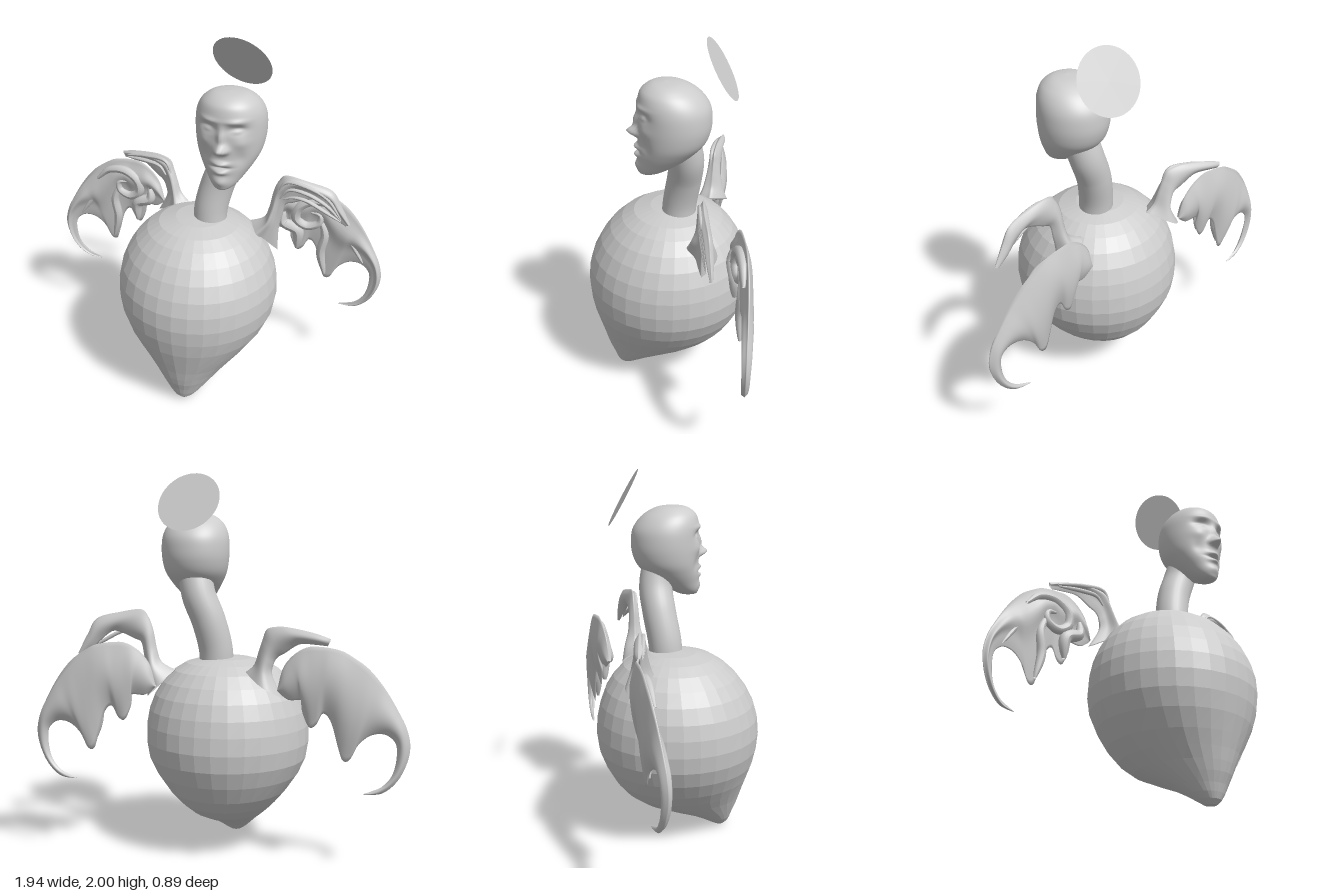
import * as THREE from 'three';

const V = (x, y, z) => new THREE.Vector3(x, y, z);

// Catmull-Rom interpolation of number rows, n samples
function sample(rows, n) {
  const out = [], last = rows.length - 1;
  for (let k = 0; k <= n; k++) {
    const u = (k / n) * last, i = Math.min(Math.floor(u), last - 1), t = u - i;
    const a = rows[Math.max(i - 1, 0)], b = rows[i], c = rows[i + 1], d = rows[Math.min(i + 2, last)];
    out.push(b.map((q, j) => {
      const k1 = c[j] - a[j];
      const k2 = 2 * a[j] - 5 * q + 4 * c[j] - d[j];
      const k3 = 3 * (q - c[j]) + d[j] - a[j];
      return q + 0.5 * t * (k1 + t * (k2 + t * k3));
    }));
  }
  return out;
}

// Skin closed rings of equal point count
function loft(rings, flat = false) {
  const m = rings[0].length, idx = [];
  for (let i = 0; i < rings.length - 1; i++) {
    for (let j = 0; j < m; j++) {
      const a = i * m + j, b = i * m + (j + 1) % m;
      idx.push(a, a + m, b, b, a + m, b + m);
    }
  }
  let g = new THREE.BufferGeometry().setFromPoints(rings.flat());
  g.setIndex(idx);
  if (flat) g = g.toNonIndexed();
  g.computeVertexNormals();
  return g;
}

// Horizontal elliptical rings from rows [y, halfWidth, zFront, zBack]
function ovals(rows, segments, cx = 0) {
  return rows.map(([y, w, zf, zb]) => Array.from({ length: segments }, (_, j) => {
    const a = (j / segments) * Math.PI * 2;
    return V(cx + w * Math.cos(a), y, (zf + zb) / 2 + (zf - zb) / 2 * Math.sin(a));
  }));
}

// Thin curved blade between two edges, rows [ax, ay, bx, by, thickness]
function blade(rows, zMid, n = 90, half = 14) {
  return loft(sample(rows, n).map(([ax, ay, bx, by, th]) =>
    Array.from({ length: half * 2 }, (_, j) => {
      const back = j <= half, s = back ? j / half : 2 - j / half;
      const x = ax + (bx - ax) * s, y = ay + (by - ay) * s, h = Math.sin(Math.PI * s);
      const rim = 0.35 + Math.exp(-(((s - 0.25) / 0.18) ** 2));
      return V(x, y, zMid(x) + th * h * (back ? -1 : rim));
    })));
}

// Tapered rounded fold following a path
function fold(points, r, zMid, lift) {
  const path = new THREE.CatmullRomCurve3(points.map(([x, y]) => V(x, y, zMid(x) + lift)));
  const n = 48, g = new THREE.TubeGeometry(path, n, r, 10), p = g.attributes.position, v = V(0, 0, 0);
  for (let i = 0; i < p.count; i++) {
    const t = Math.floor(i / 11) / n, c = path.getPointAt(t);
    v.fromBufferAttribute(p, i).sub(c).multiplyScalar(Math.sin(Math.PI * (0.04 + 0.92 * t)) ** 0.6).add(c);
    p.setXYZ(i, v.x, v.y, v.z);
  }
  g.computeVertexNormals();
  return g;
}

export function createModel() {
  const model = new THREE.Group();
  const stone = new THREE.MeshStandardMaterial({ color: 0xcccccc, side: THREE.DoubleSide });
  stone.name = 'pale grey';
  const add = (name, geometry, parent = model) => {
    const mesh = new THREE.Mesh(geometry, stone);
    mesh.name = name;
    parent.add(mesh);
    return mesh;
  };

  // Faceted round body drawn down to a forward point
  add('body', loft(ovals([
    [0, 0, 0.25, 0.25], [0.007, 0.03, 0.28, 0.22], [0.03, 0.06, 0.3, 0.18], [0.06, 0.09, 0.312, 0.13],
    [0.1, 0.125, 0.325, 0.05], [0.15, 0.17, 0.345, -0.08], [0.2, 0.215, 0.36, -0.2],
    [0.26, 0.268, 0.375, -0.285], [0.33, 0.325, 0.395, -0.345], [0.42, 0.385, 0.42, -0.395],
    [0.51, 0.425, 0.437, -0.43], [0.6, 0.44, 0.445, -0.442], [0.69, 0.438, 0.437, -0.435],
    [0.77, 0.422, 0.413, -0.418], [0.85, 0.39, 0.372, -0.388], [0.92, 0.345, 0.32, -0.345],
    [0.98, 0.285, 0.255, -0.29], [1.02, 0.22, 0.19, -0.225], [1.045, 0.13, 0.1, -0.15],
    [1.055, 0, -0.02, -0.02]], 32), true));

  // Leaning neck
  add('neck', new THREE.TubeGeometry(new THREE.CatmullRomCurve3([
    V(0.05, 0.98, -0.045), V(0.055, 1.1, -0.055), V(0.09, 1.25, -0.075),
    V(0.14, 1.38, -0.08), V(0.17, 1.52, -0.05)]), 32, 0.09, 28));

  // Head, with the face raised by soft bumps [x, y, width, height, depth]
  const cx = 0.17;
  const bumps = [
    [0, 1.555, 0.026, 0.024, 0.05], [0, 1.61, 0.017, 0.045, 0.022],
    [0, 1.475, 0.04, 0.013, 0.02], [0, 1.43, 0.034, 0.013, 0.018],
    [0, 1.452, 0.045, 0.007, -0.012], [0, 1.375, 0.04, 0.025, 0.013]];
  for (const s of [-1, 1]) {
    bumps.push([s * 0.026, 1.545, 0.015, 0.015, 0.016], [s * 0.075, 1.655, 0.042, 0.022, -0.024],
      [s * 0.075, 1.647, 0.024, 0.012, 0.013], [s * 0.07, 1.697, 0.05, 0.014, 0.01],
      [s * 0.1, 1.585, 0.035, 0.03, 0.009], [s * 0.09, 1.5, 0.03, 0.04, -0.01]);
  }
  const headRings = ovals(sample([
    [1.32, 0, 0.12, 0.12], [1.326, 0.034, 0.155, 0.07], [1.35, 0.068, 0.165, 0.015],
    [1.4, 0.107, 0.165, -0.07], [1.45, 0.139, 0.165, -0.13], [1.5, 0.163, 0.163, -0.175],
    [1.56, 0.176, 0.163, -0.198], [1.62, 0.18, 0.163, -0.203], [1.68, 0.176, 0.165, -0.195],
    [1.73, 0.16, 0.16, -0.165], [1.77, 0.13, 0.142, -0.12], [1.8, 0.08, 0.095, -0.055],
    [1.81, 0, 0.03, 0.03]], 120), 96, cx);
  for (const ring of headRings) {
    ring.forEach((v, j) => {
      if (j > 48) return;
      for (const [x, y, w, h, d] of bumps) {
        const dx = (v.x - cx - x) / w, dy = (v.y - y) / h;
        v.z += d * Math.exp(-dx * dx - dy * dy);
      }
    });
  }
  add('head', loft(headRings));

  // Tilted disc halo
  const halo = add('halo', new THREE.CircleGeometry(0.166, 48));
  halo.position.set(0.15, 1.855, -0.25);
  halo.quaternion.setFromUnitVectors(V(0, 0, 1), V(-0.16, -0.48, 0.86).normalize());

  // Mirrored curled wings: outer edge paired with scalloped lower edge
  const wingZ = (x) => -0.31 - 0.028 * Math.sin(Math.PI * (x - 0.3) / 0.67);
  const wing = blade([
    [0.315, 0.93, 0.315, 0.92, 0.01], [0.34, 1.03, 0.37, 0.88, 0.025], [0.38, 1.09, 0.44, 0.88, 0.03],
    [0.43, 1.13, 0.44, 0.83, 0.035], [0.48, 1.15, 0.475, 0.75, 0.035], [0.53, 1.15, 0.51, 0.76, 0.035],
    [0.58, 1.145, 0.545, 0.82, 0.035], [0.64, 1.13, 0.585, 0.78, 0.035], [0.7, 1.095, 0.62, 0.66, 0.035],
    [0.75, 1.06, 0.645, 0.59, 0.035], [0.79, 1.02, 0.68, 0.595, 0.035], [0.83, 0.97, 0.72, 0.67, 0.03],
    [0.87, 0.91, 0.78, 0.72, 0.03], [0.91, 0.84, 0.85, 0.725, 0.027], [0.95, 0.76, 0.9, 0.68, 0.025],
    [0.97, 0.67, 0.905, 0.6, 0.022], [0.955, 0.58, 0.885, 0.52, 0.02], [0.91, 0.49, 0.84, 0.465, 0.016],
    [0.84, 0.43, 0.79, 0.44, 0.01], [0.75, 0.42, 0.75, 0.425, 0.004]], wingZ, 140, 18);
  const folds = [
    fold([[0.74, 1], [0.66, 1.07], [0.56, 1.08], [0.48, 1.03], [0.47, 0.96], [0.53, 0.92],
      [0.6, 0.95], [0.6, 1], [0.55, 1.01]], 0.028, wingZ, 0.022),
    fold([[0.6, 0.98], [0.635, 0.88], [0.62, 0.76], [0.65, 0.62]], 0.026, wingZ, 0.018),
    fold([[0.4, 1], [0.4, 0.93], [0.48, 0.89], [0.485, 0.77]], 0.034, wingZ, 0.025),
    fold([[0.68, 0.97], [0.77, 0.87], [0.86, 0.74]], 0.014, wingZ, 0.01)];
  for (const [name, side] of [['leftWing', 1], ['rightWing', -1]]) {
    const group = new THREE.Group();
    group.name = name;
    group.scale.x = side;
    add('wingBlade', wing, group);
    folds.forEach((f) => add('wingFold', f, group));
    model.add(group);
  }

  // Tall left arm bending outward
  const leftZ = (x) => -0.15 - 0.01 * Math.sin(x * 9);
  add('leftArm', blade([
    [0.25, 0.99, 0.41, 0.84, 0.08], [0.325, 1.03, 0.41, 0.97, 0.06], [0.352, 1.1, 0.425, 1.06, 0.036],
    [0.372, 1.2, 0.44, 1.13, 0.028], [0.4, 1.27, 0.48, 1.15, 0.026], [0.44, 1.305, 0.55, 1.18, 0.024],
    [0.55, 1.29, 0.6, 1.185, 0.024], [0.68, 1.255, 0.66, 1.14, 0.024], [0.735, 1.17, 0.71, 1.09, 0.02],
    [0.79, 1.065, 0.765, 1.052, 0.008]], leftZ));
  for (const d of [0, 0.04, 0.08]) {
    add('leftArmFold', fold([[0.39 + d * 0.5, 1.17], [0.44 + d * 0.5, 1.27 - d], [0.55, 1.265 - d],
      [0.66, 1.21 - d], [0.74, 1.1 - d * 0.2]], 0.011, leftZ, 0.018));
  }

  // Shorter right arm reaching sideways
  const rightZ = (x) => -0.25 - (x - 0.2) * 0.26;
  const rightArm = new THREE.Group();
  rightArm.name = 'rightArm';
  rightArm.scale.x = -1;
  add('armBlade', blade([
    [0.14, 1, 0.34, 0.88, 0.08], [0.185, 1.04, 0.285, 0.99, 0.055], [0.21, 1.11, 0.29, 1.05, 0.04],
    [0.23, 1.17, 0.31, 1.085, 0.033], [0.255, 1.225, 0.35, 1.11, 0.03], [0.32, 1.24, 0.4, 1.145, 0.028],
    [0.39, 1.235, 0.44, 1.16, 0.025], [0.5, 1.215, 0.52, 1.158, 0.02],
    [0.58, 1.19, 0.565, 1.155, 0.008]], rightZ), rightArm);
  for (const d of [0, 0.04]) {
    add('armFold', fold([[0.24 + d, 1.13], [0.28 + d, 1.215 - d], [0.4, 1.215 - d * 0.8],
      [0.54, 1.185 - d * 0.3]], 0.012, rightZ, 0.02), rightArm);
  }
  model.add(rightArm);

  return model;
}
